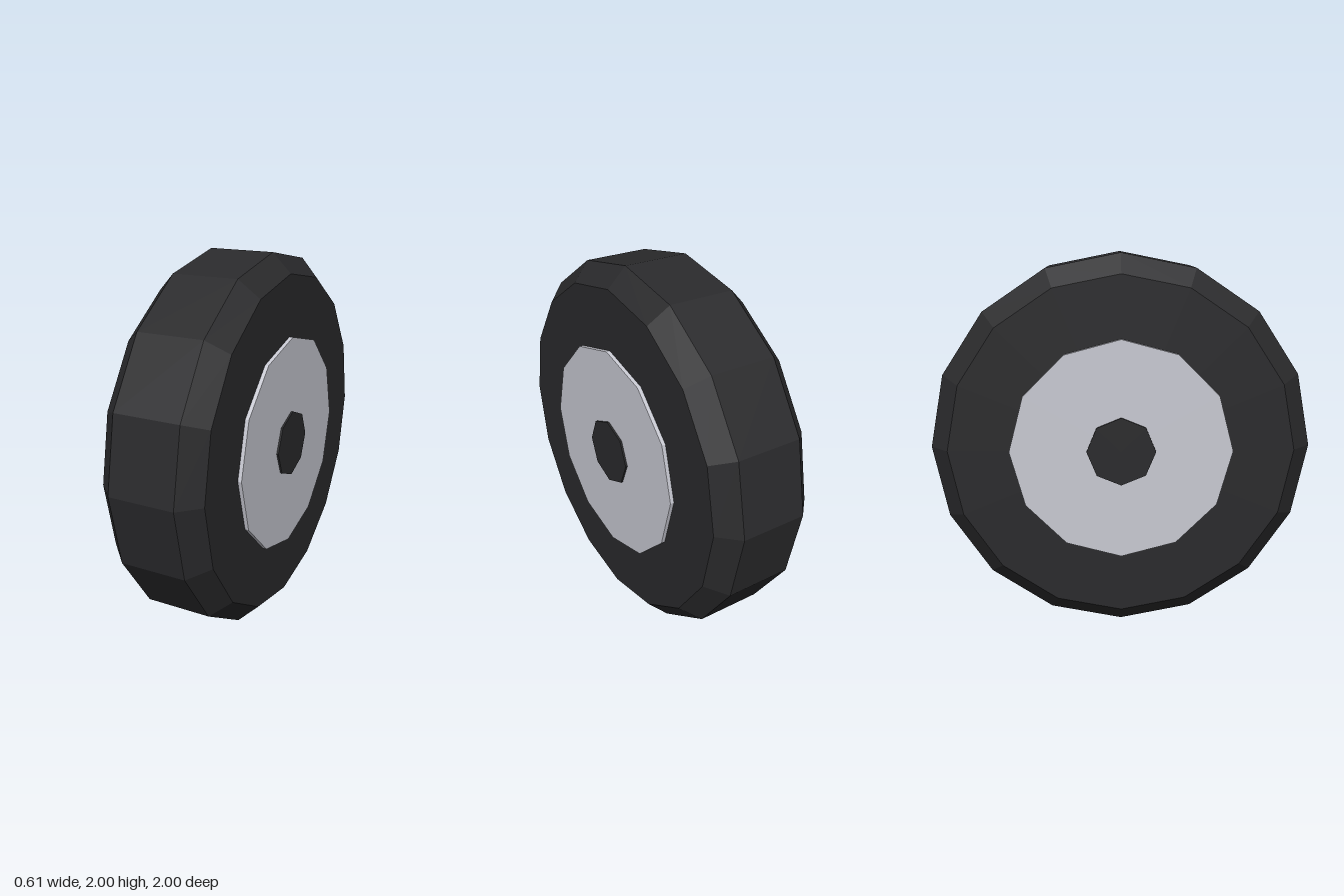
import * as THREE from 'three';

const material = (color) => new THREE.MeshStandardMaterial({ color, flatShading: true });

// Adds a part whose axle runs along x, with corners at the top and sides.
function addPart(group, name, geometry, mat) {
  const mesh = new THREE.Mesh(geometry.rotateZ(Math.PI / 2), mat);
  mesh.name = name;
  group.add(mesh);
}

export function createModel() {
  const wheel = new THREE.Group();
  wheel.name = 'wheel';
  const rubber = material(0x2a2a2c);
  const metal = material(0xc8c9d2);

  // Tyre: 16-sided with bevelled shoulders and flat side walls
  const profile = [[0, -0.275], [0.9, -0.275], [1, -0.175], [1, 0.175], [0.9, 0.275], [0, 0.275]]
    .map(([r, y]) => new THREE.Vector2(r, y));
  addPart(wheel, 'tyre', new THREE.LatheGeometry(profile, 16), rubber);

  // Rim disc and axle cap, each standing slightly proud on both sides
  addPart(wheel, 'rim', new THREE.CylinderGeometry(0.58, 0.58, 0.59, 12), metal);
  addPart(wheel, 'axleCap', new THREE.CylinderGeometry(0.18, 0.18, 0.61, 8), rubber);

  wheel.position.y = 1;
  const model = new THREE.Group();
  model.add(wheel);
  return model;
}
